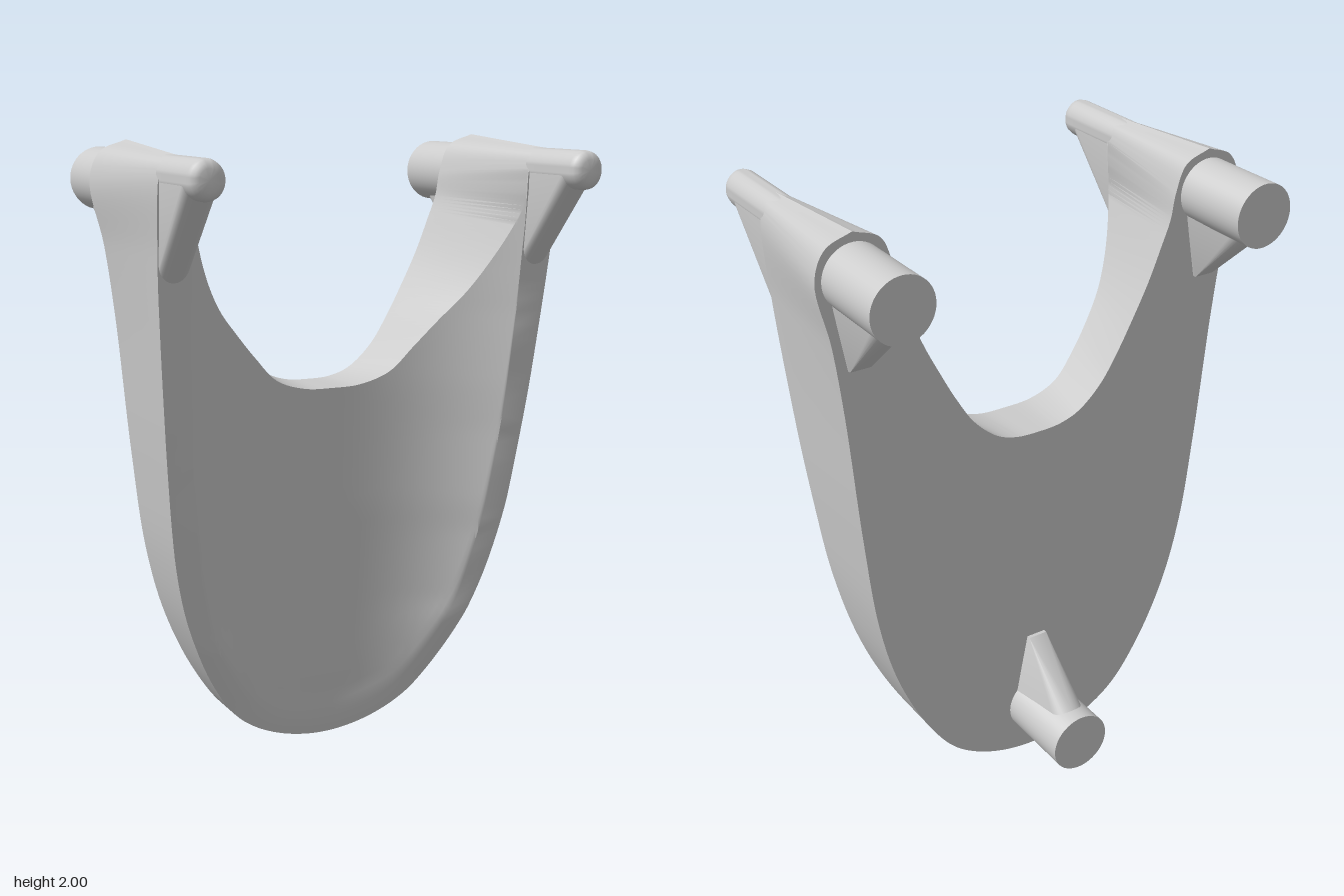
import * as THREE from 'three';
import { toCreasedNormals } from 'three/addons/utils/BufferGeometryUtils.js';
import { ConvexGeometry } from 'three/addons/geometries/ConvexGeometry.js';

const BACK = -0.22;
const material = new THREE.MeshStandardMaterial({ color: 0xcccccc });

// Right half outlines [x, y], from the bottom centre to the horn tip
const OUTER_BACK = [[0, 0], [.17, .03], [.31, .11], [.42, .255], [.52, .47], [.58, .7], [.62, 1.02], [.66, 1.45], [.69, 1.68], [.73, 1.88], [.695, 1.965], [.61, 2]];
const OUTER_FRONT = [...OUTER_BACK.slice(0, 7), [.655, 1.45], [.668, 1.68], [.67, 1.9], [.654, 1.95], [.615, 1.97]];
const RIM = [[0, .06], [.13, .085], [.25, .14], [.34, .25], [.44, .44], [.5, .7], [.54, 1.05], [.56, 1.45], [.562, 1.72], [.56, 1.9], [.576, 1.95], [.615, 1.97]];
const TOP_FRONT = [[0, 1.21], [.1, 1.215], [.2, 1.25], [.28, 1.33], [.36, 1.42], [.42, 1.49], [.47, 1.57], [.525, 1.69], [.555, 1.79], [.56, 1.9], [.576, 1.95], [.615, 1.97]];
const TOP_BACK = [[0, 1.21], [.08, 1.215], [.15, 1.24], [.23, 1.31], [.29, 1.4], [.35, 1.51], [.4, 1.61], [.445, 1.72], [.475, 1.8], [.49, 1.88], [.525, 1.965], [.61, 2]];

// Depth tables [y, z]: front rim and centre line of the dish; WIDTH is [y, half width]
const RIM_Z = [[0, -.12], [.17, -.075], [.4, 0], [.8, .08], [1.2, .14], [1.6, .19], [1.85, .225], [2, .23]];
const FLOOR_Z = [[.06, -.107], [.25, -.09], [.8, -.05], [1.21, -.03], [1.6, -.02], [2, 0]];
const WIDTH = RIM.slice(0, 9).map(([x, y]) => [y, x]);

function lookup(table, y) {
  if (y <= table[0][0]) return table[0][1];
  for (let i = 1; i < table.length; i++) {
    const [a, va] = table[i - 1], [b, vb] = table[i];
    if (y <= b) return va + (vb - va) * (y - a) / (b - a);
  }
  return table[table.length - 1][1];
}

function mirroredCurve(half) {
  const left = half.slice(1).reverse().map(([x, y]) => [-x, y]);
  return new THREE.CatmullRomCurve3([...left, ...half].map(([x, y]) => new THREE.Vector3(x, y, 0)));
}

function dishDepth(x, y) {
  const rim = lookup(RIM_Z, y), floor = Math.min(rim, lookup(FLOOR_Z, y));
  const t = Math.min(1, Math.abs(x) / Math.max(.01, lookup(WIDTH, y)));
  return floor + (rim - floor) * t ** 3;
}

// Shield body: closed sections swept around the U from horn to horn
function bodyGeometry() {
  const [outerBack, outerFront, rim, topFront, topBack] =
    [OUTER_BACK, OUTER_FRONT, RIM, TOP_FRONT, TOP_BACK].map(mirroredCurve);
  const steps = 176, dishSteps = 24, positions = [], index = [];
  const ring = dishSteps + 4;
  for (let i = 0; i <= steps; i++) {
    const t = i / steps;
    const a = outerBack.getPoint(t), b = outerFront.getPoint(t);
    const r = rim.getPoint(t), f = topFront.getPoint(t), e = topBack.getPoint(t);
    positions.push(a.x, a.y, BACK, b.x, b.y, lookup(RIM_Z, b.y));
    for (let k = 0; k <= dishSteps; k++) {
      const p = r.clone().lerp(f, k / dishSteps);
      positions.push(p.x, p.y, k ? dishDepth(p.x, p.y) : lookup(RIM_Z, p.y));
    }
    positions.push(e.x, e.y, BACK);
  }
  for (let i = 0; i < steps; i++) {
    for (let j = 0; j < ring; j++) {
      const p = i * ring + j, q = i * ring + (j + 1) % ring;
      index.push(p, p + ring, q, q, p + ring, q + ring);
    }
  }
  const g = new THREE.BufferGeometry();
  g.setAttribute('position', new THREE.Float32BufferAttribute(positions, 3));
  g.setIndex(index);
  return toCreasedNormals(g, 0.6);
}

// Points of a circle facing z, used as a hull section
function circle(x, y, z, rx, ry = rx) {
  return Array.from({ length: 32 }, (_, i) => {
    const a = i / 32 * Math.PI * 2;
    return new THREE.Vector3(x + rx * Math.cos(a), y + ry * Math.sin(a), z);
  });
}

const hull = (...sections) => toCreasedNormals(new ConvexGeometry(sections.flat()), 0.6);

export function createModel() {
  const model = new THREE.Group();
  const add = (name, geometry, parent = model) => {
    const mesh = new THREE.Mesh(geometry, material);
    mesh.name = name;
    parent.add(mesh);
    return mesh;
  };

  add('shieldBody', bodyGeometry());

  // Front hooks: round-nosed pins with a sloping web below
  const nose = [[0, .485], [.03, .485], [.043, .48], [.052, .468], [.055, .45], [.055, .1], [0, .1]];
  const pin = toCreasedNormals(new THREE.LatheGeometry(nose.reverse().map(([r, y]) => new THREE.Vector2(r, y)), 40), 0.7);
  pin.rotateX(Math.PI / 2);
  pin.scale(1, 1.09, 1);
  for (const side of [-1, 1]) {
    const x = side * .615;
    const hook = new THREE.Group();
    hook.name = side > 0 ? 'leftHook' : 'rightHook';
    add('hookPin', pin, hook).position.set(x, 1.91, 0);
    add('hookWeb', hull(
      circle(x, 1.91, .05, .053, .058), circle(x, 1.91, .42, .053, .058),
      circle(x, 1.65, .05, .049), circle(x, 1.65, .19, .049)), hook);
    model.add(hook);
  }

  // Rear mounting pegs, each with a tapered web towards the shield
  const peg = new THREE.CylinderGeometry(.1, .1, .285, 48).rotateX(Math.PI / 2);
  for (const [name, x, y, up] of [['leftPeg', .61, 1.87, -1], ['rightPeg', -.61, 1.87, -1], ['lowerPeg', 0, .175, 1]]) {
    const mount = new THREE.Group();
    mount.name = name;
    add('pegShaft', peg, mount).position.set(x, y, -.3425);
    const tip = [-.21, -.232].flatMap(z => [-.033, .033].map(dx => new THREE.Vector3(x + dx, y + up * .277, z)));
    add('pegWeb', hull(
      circle(x, y + up * .02, -.21, .08), circle(x, y + up * .02, -.44, .06, .078), tip), mount);
    model.add(mount);
  }
  return model;
}
